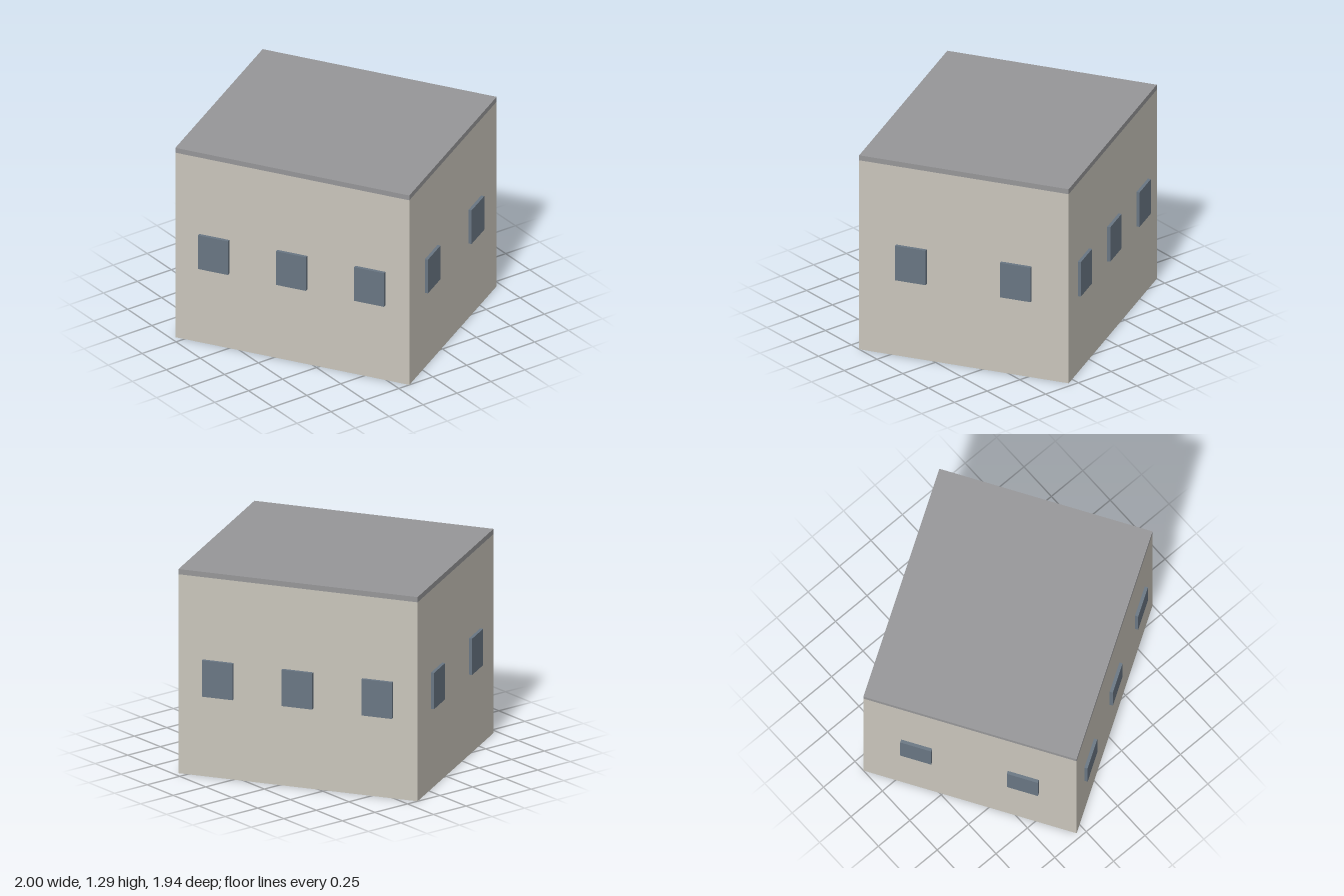
import * as THREE from 'three';

const WIDTH = 1.525, DEPTH = 1.34, HEIGHT = 1.295, ROOF = 0.033;
const WINDOW_W = 0.195, WINDOW_H = 0.23, WINDOW_Y = 0.625, WINDOW_OUT = 0.02;

function material(name, color) {
  const m = new THREE.MeshStandardMaterial({ color });
  m.name = name;
  return m;
}

export function createModel() {
  const wallMat = material('warm grey wall', 0xc9c5bb);
  const roofMat = material('grey roof', 0x969698);
  const glassMat = material('blue grey glass', 0x697683);

  const model = new THREE.Group();
  model.name = 'building';

  function box(name, w, h, d, mat, y, parent) {
    const mesh = new THREE.Mesh(new THREE.BoxGeometry(w, h, d), mat);
    mesh.name = name;
    mesh.position.y = y;
    parent.add(mesh);
    return mesh;
  }

  // The whole block is turned on its plot
  const block = new THREE.Group();
  block.name = 'block';
  block.rotation.y = THREE.MathUtils.degToRad(31.5);
  model.add(block);

  // Walls and the flush flat roof slab
  const wallH = HEIGHT - ROOF;
  box('walls', WIDTH, wallH, DEPTH, wallMat, wallH / 2, block);
  box('roof', WIDTH, ROOF, DEPTH, roofMat, wallH + ROOF / 2, block);

  // Evenly spaced window panels: three on each long side, two on each short side
  const sides = [
    ['front', 0, WIDTH, DEPTH, 3],
    ['left', 1, DEPTH, WIDTH, 2],
    ['back', 2, WIDTH, DEPTH, 3],
    ['right', 3, DEPTH, WIDTH, 2],
  ];
  for (const [name, turn, length, across, count] of sides) {
    const row = new THREE.Group();
    row.name = name + 'Windows';
    row.rotation.y = turn * Math.PI / 2;
    block.add(row);
    for (let i = 0; i < count; i++) {
      const pane = box('window', WINDOW_W, WINDOW_H, WINDOW_OUT * 2, glassMat, WINDOW_Y, row);
      pane.position.x = ((i + 0.5) / count - 0.5) * length;
      pane.position.z = across / 2;
    }
  }
  return model;
}
